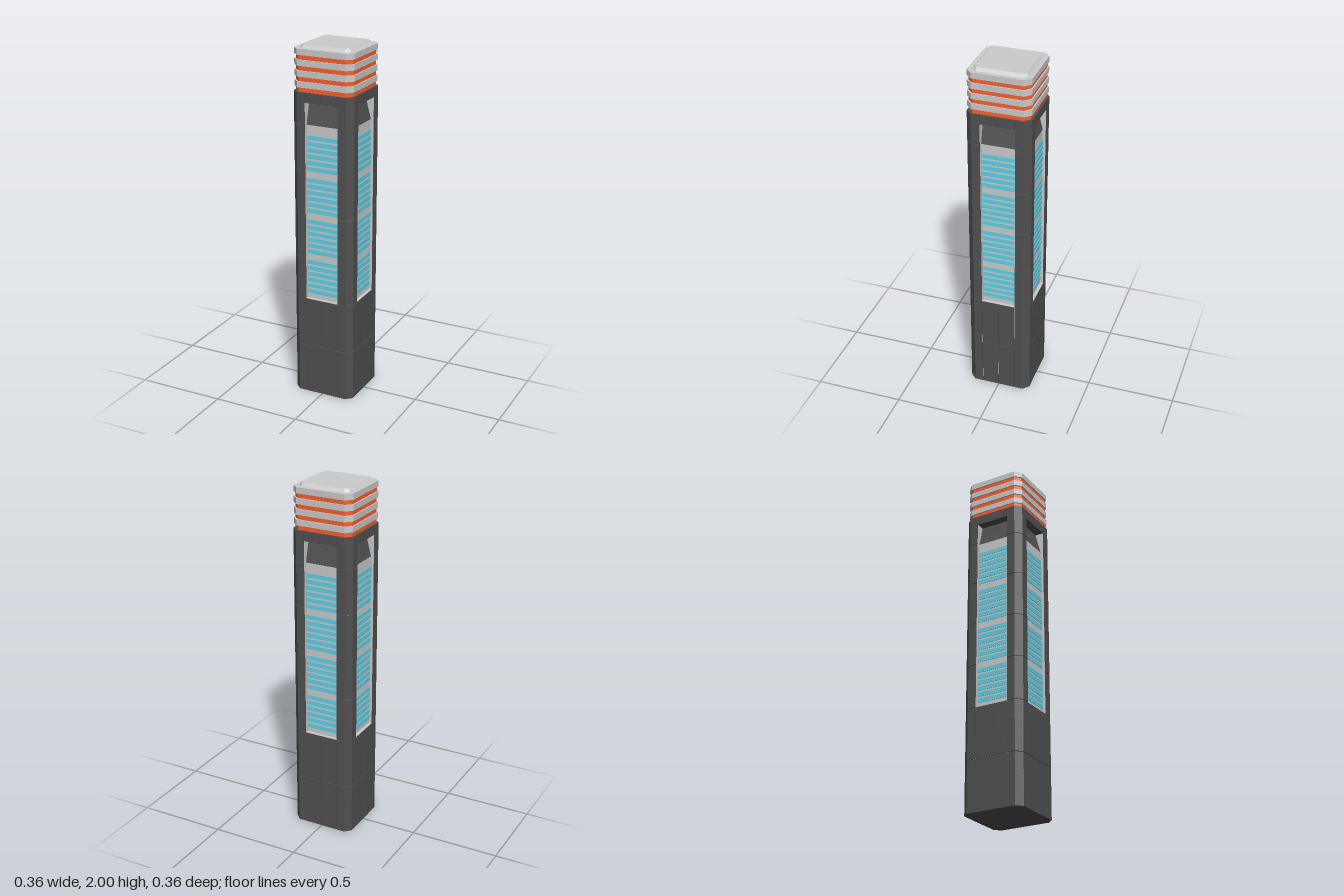
import * as THREE from 'three';

const HALF = 0.178, CHAMFER = 0.033, OPEN = 0.097, GLASS = 0.16;
const SILL = 0.577, HEAD = 1.577, LINTEL = 1.7, ROOF = 1.753, GAP = 0.003;

const material = (color) => new THREE.MeshStandardMaterial({ color, flatShading: true });

// Square outline with cut corners; notches are narrow vertical seams on each side
function outline(half, chamfer, notches = []) {
  const pts = [];
  const side = [[-half + chamfer, half]];
  for (const n of notches) {
    side.push([n - GAP / 2, half], [n - GAP / 2, half - 0.006], [n + GAP / 2, half - 0.006], [n + GAP / 2, half]);
  }
  side.push([half - chamfer, half]);
  for (let i = 0; i < 4; i++) {
    const v = new THREE.Vector2();
    for (const [x, y] of side) pts.push(v.set(x, y).rotateAround(new THREE.Vector2(), -i * Math.PI / 2).clone());
  }
  return new THREE.Shape(pts.reverse());
}

// Upright prism from a plan shape
function prism(shape, y0, y1) {
  const g = new THREE.ExtrudeGeometry(shape, { depth: y1 - y0, bevelEnabled: false });
  return g.rotateX(-Math.PI / 2).translate(0, y0, 0);
}

// Tapered block with cut corners, built from two rings
function taperedSlab(h0, c0, h1, c1, y0, y1) {
  const ring = (h, c, y) => outline(h, c).getPoints().slice(0, 8).map((p) => [p.x, y, -p.y]);
  const a = ring(h0, c0, y0), b = ring(h1, c1, y1), pos = [];
  for (let i = 0; i < 8; i++) {
    const j = (i + 1) % 8;
    pos.push(...a[i], ...a[j], ...b[j], ...a[i], ...b[j], ...b[i]);
    pos.push(...b[i], ...b[j], 0, y1, 0);
  }
  const g = new THREE.BufferGeometry();
  g.setAttribute('position', new THREE.Float32BufferAttribute(pos, 3));
  g.computeVertexNormals();
  return g;
}

export function createModel() {
  const model = new THREE.Group();
  const dark = material(0x505050), grey = material(0xcccccc);
  const cyan = material(0x62d0e6), orange = material(0xf8602f);

  const add = (parent, name, geometry, mat) => {
    const mesh = new THREE.Mesh(geometry, mat);
    mesh.name = name;
    parent.add(mesh);
    return mesh;
  };
  const box = (parent, name, w, h, d, x, y, z, mat) =>
    add(parent, name, new THREE.BoxGeometry(w, h, d).translate(x, y, z), mat);

  // Base and lintel cladding, divided by seams
  const seams = [-OPEN, 0, OPEN];
  add(model, 'baseCore', prism(outline(HALF - 0.006, CHAMFER), 0.004, SILL - 0.004), grey);
  for (const [name, y0, y1] of [['lowerBase', 0, 0.288], ['upperBase', 0.288 + GAP, SILL], ['lintel', LINTEL, ROOF]]) {
    add(model, name, prism(outline(HALF, CHAMFER, seams), y0, y1), dark);
  }

  // Inner shaft, leaning back above the windows
  box(model, 'shaft', GLASS * 2, HEAD - SILL, GLASS * 2, 0, (HEAD + SILL) / 2, 0, grey);
  const slope = new THREE.CylinderGeometry(0.128 * Math.SQRT2, GLASS * Math.SQRT2, LINTEL - HEAD, 4, 1);
  add(model, 'slopedPanels', slope.rotateY(Math.PI / 4).translate(0, (LINTEL + HEAD) / 2, 0), dark);

  // Corner pillar plan
  const e = HALF - CHAMFER;
  const plan = new THREE.Shape([[OPEN, OPEN], [HALF, OPEN], [HALF, e], [e, HALF], [OPEN, HALF]]
    .map(([x, y]) => new THREE.Vector2(x, y)));
  const joints = [SILL, 0.825, 1.073, 1.325, HEAD, LINTEL];

  for (let i = 0; i < 4; i++) {
    const face = new THREE.Group();
    face.name = 'facade';
    face.rotation.y = i * Math.PI / 2;
    model.add(face);

    for (let k = 0; k < joints.length - 1; k++) {
      add(face, 'cornerPillar', prism(plan, joints[k] + GAP, joints[k + 1]), dark);
    }

    // Pale window reveals and sill
    for (const s of [-1, 1]) {
      box(face, 'reveal', 0.002, LINTEL - SILL, 0.056, s * (OPEN - 0.001), (LINTEL + SILL) / 2, 0.148, grey);
    }
    box(face, 'sill', OPEN * 2, 0.003, 0.02, 0, SILL + 0.0015, 0.167, grey);

    // Four groups of window strips
    for (let g = 0; g < 4; g++) {
      for (let k = 0; k < 6; k++) {
        const y = 0.619 + g * 0.238 + k * 0.035;
        box(face, 'windowStrip', OPEN * 2 - 0.004, 0.024, 0.004, 0, y, GLASS + 0.001, cyan);
      }
    }
  }

  // Crown of alternating bands
  for (let k = 0; k < 4; k++) {
    const y = ROOF + k * 0.0575;
    add(model, 'glowBand', prism(outline(0.168, 0.031), y, y + 0.025), orange);
    add(model, 'crownBand', prism(outline(0.175, CHAMFER), y + 0.025, y + 0.0575), grey);
  }
  add(model, 'roofCap', taperedSlab(0.151, 0.026, 0.137, 0.014, ROOF + 0.23, 2), grey);

  return model;
}
